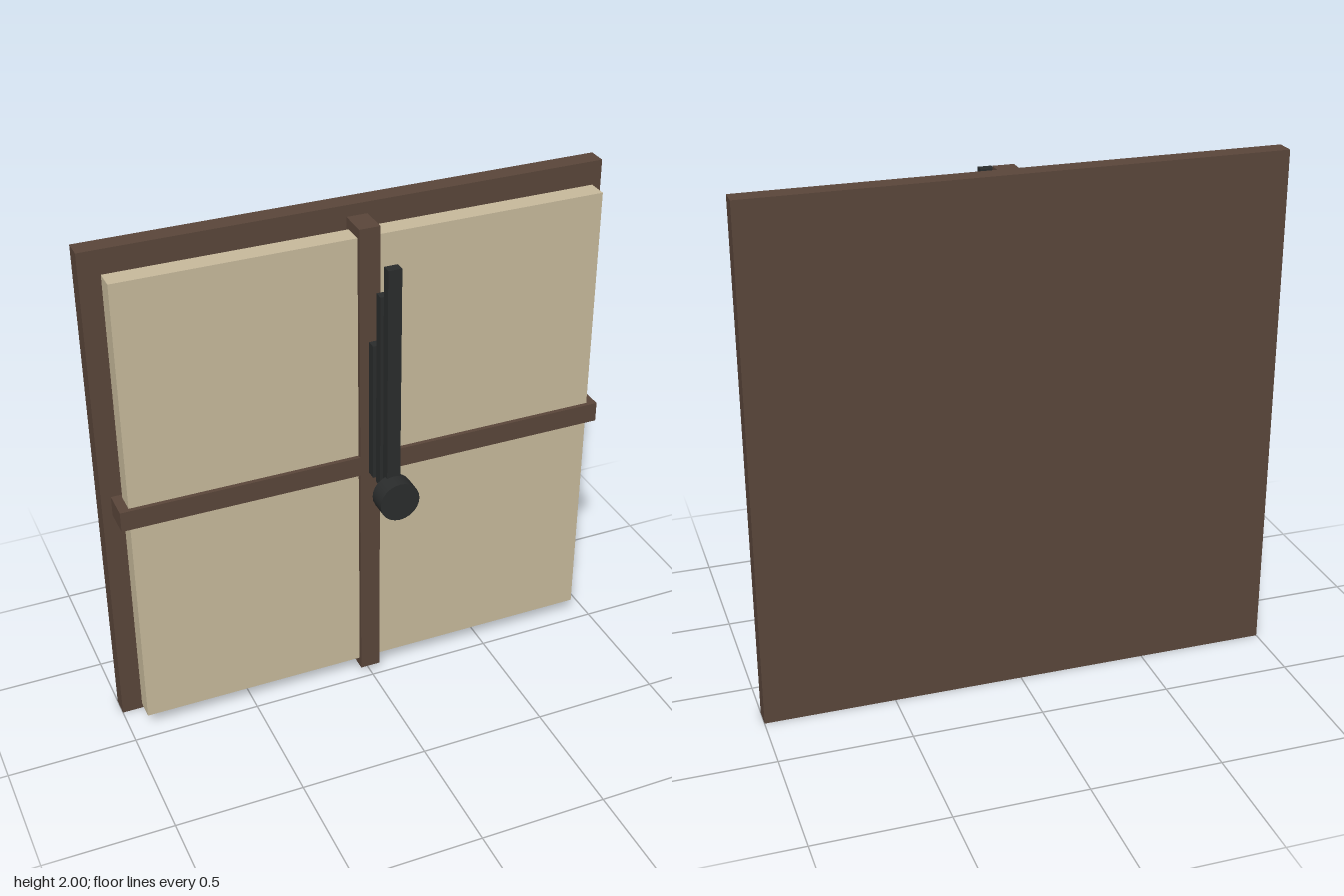
import * as THREE from 'three';

export function createModel() {
  const group = new THREE.Group();
  const material = (name, color) => {
    const m = new THREE.MeshStandardMaterial({ color });
    m.name = name;
    return m;
  };
  const wood = material('dark wood', 0x5a463a);
  const cream = material('cream', 0xc8ba9c);
  const black = material('black', 0x2a2c2c);

  // Box given by its minimum and maximum corners
  const box = (name, mat, [x0, y0, z0], [x1, y1, z1]) => {
    const mesh = new THREE.Mesh(new THREE.BoxGeometry(x1 - x0, y1 - y0, z1 - z0), mat);
    mesh.position.set((x0 + x1) / 2, (y0 + y1) / 2, (z0 + z1) / 2);
    mesh.name = name;
    group.add(mesh);
  };

  // Square backing board and the face panel floating in front of it
  box('backBoard', wood, [-1, 0, -0.25], [1, 2, -0.175]);
  box('facePanel', cream, [-0.933, 0.067, -0.122], [0.933, 1.933, -0.043]);

  // Crossed bars through the panel
  box('verticalBar', wood, [-0.04, 0.028, -0.141], [0.04, 1.972, -0.026]);
  box('horizontalBarLeft', wood, [0.04, 0.96, -0.141], [0.97, 1.04, -0.026]);
  box('horizontalBarRight', wood, [-0.97, 0.96, -0.141], [-0.04, 1.04, -0.026]);

  // Three hands, longest at the front
  [['shortHand', 1.555, 0.025], ['middleHand', 1.78, 0.09], ['longHand', 1.91, 0.154]]
    .forEach(([name, top, z]) => box(name, black, [-0.026, 1, z], [0.026, top, z + 0.037]));

  // Round hub facing forward
  const hub = new THREE.Mesh(new THREE.CylinderGeometry(0.077, 0.077, 0.075, 24), black);
  hub.rotation.x = Math.PI / 2;
  hub.position.set(0, 1, 0.2125);
  hub.name = 'hub';
  group.add(hub);

  return group;
}
